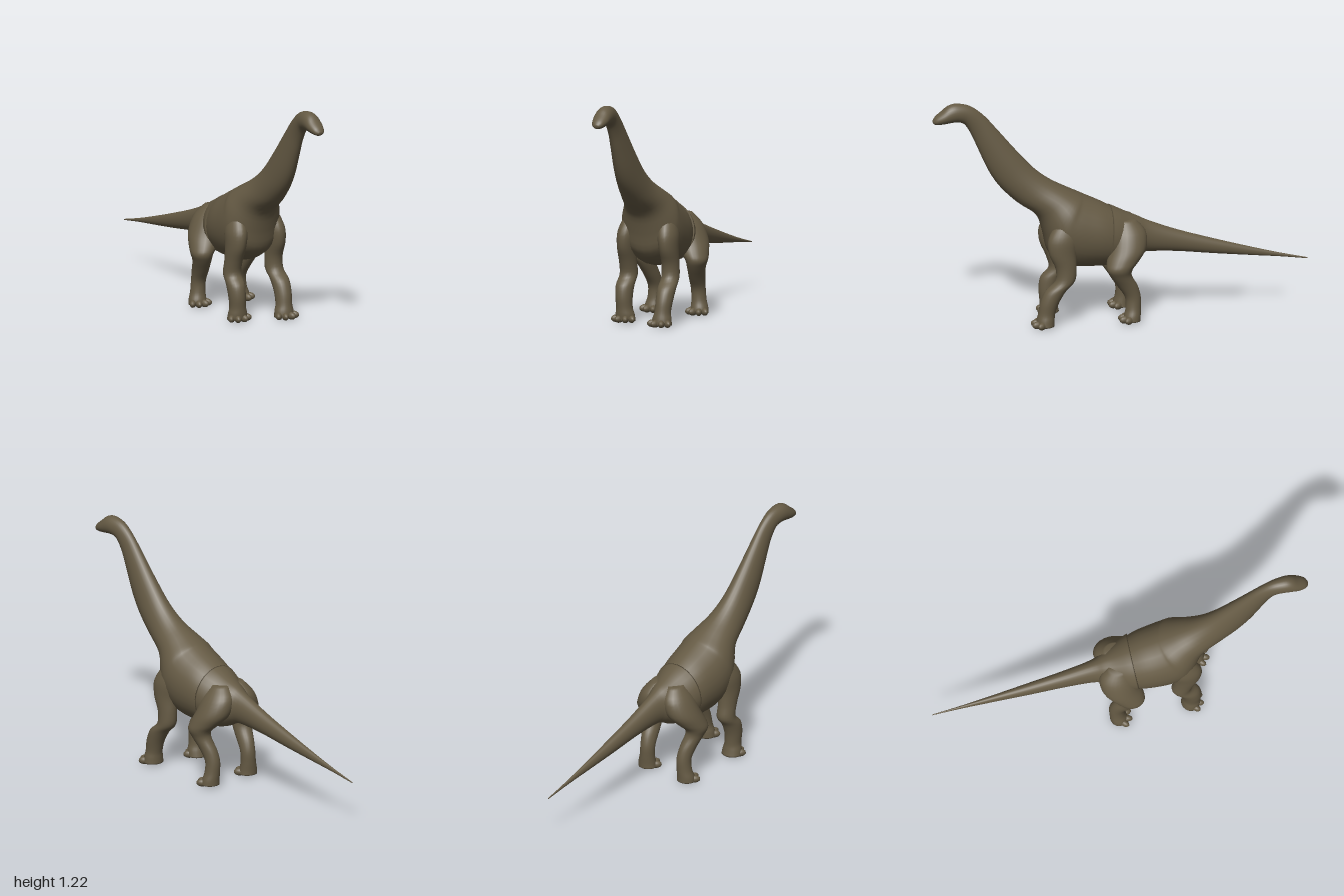
import * as THREE from 'three';

const hide = new THREE.MeshStandardMaterial({ color: 0x655a44 });
hide.name = 'brown hide';

// Catmull-Rom smoothing of a table of cross-sections
function refine(rows, steps) {
  const out = [];
  for (let i = 0; i < rows.length - 1; i++) {
    const a = rows[Math.max(i - 1, 0)], b = rows[i], c = rows[i + 1], d = rows[Math.min(i + 2, rows.length - 1)];
    for (let s = 0; s < steps; s++) {
      const t = s / steps;
      out.push(b.map((v, k) => v + 0.5 * t * (c[k] - a[k] + t * (2 * a[k] - 5 * v + 4 * c[k] - d[k] + t * (3 * (v - c[k]) + d[k] - a[k])))));
    }
  }
  out.push(rows[rows.length - 1]);
  return out;
}

// Closed skin through elliptical rings { c: centre, w, u: half axes }
function loft(name, rings, sides = 28) {
  const pos = [], idx = [], n = rings.length;
  for (const { c, w, u } of rings) {
    for (let j = 0; j < sides; j++) {
      const a = (j / sides) * Math.PI * 2, cs = Math.cos(a), sn = Math.sin(a);
      pos.push(c[0] + w[0] * cs + u[0] * sn, c[1] + w[1] * cs + u[1] * sn, c[2] + w[2] * cs + u[2] * sn);
    }
  }
  const first = n * sides, last = first + 1;
  pos.push(...rings[0].c, ...rings[n - 1].c);
  for (let j = 0; j < sides; j++) {
    const k = (j + 1) % sides;
    for (let i = 0; i < n - 1; i++) {
      const a = i * sides + j, b = i * sides + k, c = a + sides, d = b + sides;
      idx.push(a, c, b, b, c, d);
    }
    idx.push(first, j, k, last, (n - 1) * sides + k, (n - 1) * sides + j);
  }
  const g = new THREE.BufferGeometry();
  g.setAttribute('position', new THREE.Float32BufferAttribute(pos, 3));
  g.setIndex(idx);
  g.computeVertexNormals();
  const m = new THREE.Mesh(g, hide);
  m.name = name;
  return m;
}

// Body sections: top z, top y, bottom z, bottom y, half width
const trunk = (name, rows) => loft(name, refine(rows, 4).map(([tz, ty, bz, by, w]) => ({
  c: [0, (ty + by) / 2, (tz + bz) / 2], w: [w, 0, 0], u: [0, (ty - by) / 2, (tz - bz) / 2],
})));

// Leg sections: x, y, z, half width, half depth
const limb = (name, rows, side) => loft(name, refine(rows, 4).map(([x, y, z, rx, rz]) => ({
  c: [x * side, y, z], w: [0, 0, rz], u: [rx, 0, 0],
})), 24);

const headNeckTorso = [
  [1.0, 1.135, 0.996, 1.12, 0.012],
  [0.985, 1.157, 0.98, 1.113, 0.03],
  [0.95, 1.185, 0.94, 1.115, 0.042],
  [0.915, 1.212, 0.89, 1.12, 0.044],
  [0.87, 1.22, 0.855, 1.118, 0.042],
  [0.80, 1.203, 0.825, 1.10, 0.037],
  [0.73, 1.15, 0.79, 1.04, 0.036],
  [0.66, 1.07, 0.755, 0.96, 0.043],
  [0.56, 0.95, 0.70, 0.84, 0.056],
  [0.46, 0.84, 0.64, 0.75, 0.068],
  [0.37, 0.77, 0.55, 0.66, 0.085],
  [0.28, 0.72, 0.45, 0.585, 0.115],
  [0.22, 0.69, 0.412, 0.48, 0.148],
  [0.20, 0.68, 0.38, 0.37, 0.16],
  [0.17, 0.665, 0.27, 0.30, 0.162],
  [0.10, 0.63, 0.13, 0.287, 0.152],
  [0.03, 0.59, 0.03, 0.29, 0.128],
  [-0.04, 0.55, -0.05, 0.31, 0.095],
];

const hipsTail = [
  [0.055, 0.608, 0.085, 0.30, 0.148],
  [0.02, 0.592, 0.03, 0.288, 0.136],
  [-0.04, 0.562, -0.04, 0.305, 0.106],
  [-0.09, 0.54, -0.1, 0.335, 0.076],
  [-0.15, 0.51, -0.15, 0.342, 0.054],
  [-0.3, 0.45, -0.3, 0.332, 0.04],
  [-0.5, 0.385, -0.5, 0.305, 0.028],
  [-0.7, 0.325, -0.7, 0.28, 0.015],
  [-0.85, 0.283, -0.85, 0.262, 0.007],
  [-1, 0.246, -1, 0.24, 0.002],
];

const frontLeg = [
  [0.10, 0.56, 0.30, 0.04, 0.06],
  [0.113, 0.48, 0.325, 0.052, 0.082],
  [0.119, 0.40, 0.332, 0.048, 0.073],
  [0.121, 0.32, 0.315, 0.045, 0.056],
  [0.122, 0.25, 0.32, 0.047, 0.052],
  [0.125, 0.20, 0.37, 0.048, 0.055],
  [0.125, 0.14, 0.402, 0.045, 0.05],
  [0.122, 0.08, 0.418, 0.043, 0.045],
  [0.12, 0.045, 0.424, 0.051, 0.047],
  [0.12, 0.012, 0.427, 0.055, 0.049],
];

const hindLeg = [
  [0.05, 0.54, -0.02, 0.04, 0.05],
  [0.07, 0.48, -0.03, 0.07, 0.09],
  [0.095, 0.40, -0.02, 0.084, 0.098],
  [0.125, 0.34, 0.012, 0.072, 0.085],
  [0.145, 0.30, 0.033, 0.057, 0.068],
  [0.14, 0.26, 0.025, 0.047, 0.057],
  [0.128, 0.20, -0.012, 0.041, 0.053],
  [0.122, 0.14, -0.04, 0.038, 0.042],
  [0.125, 0.08, -0.042, 0.04, 0.04],
  [0.13, 0.04, -0.036, 0.047, 0.044],
  [0.13, 0.012, -0.033, 0.05, 0.046],
];

// Four rounded toes fanned around the front of a foot
function toes(name, x, z, spread) {
  const group = new THREE.Group();
  group.name = name;
  for (const deg of [-62, -22, 20, 60]) {
    const a = THREE.MathUtils.degToRad(deg);
    const toe = new THREE.Mesh(new THREE.SphereGeometry(1, 14, 10), hide);
    toe.name = 'toe';
    toe.scale.set(0.017, 0.02, 0.03);
    toe.position.set(x + Math.sin(a) * spread, 0.022, z + Math.cos(a) * spread * 0.92);
    toe.rotation.y = a * 0.7;
    group.add(toe);
  }
  return group;
}

export function createModel() {
  const model = new THREE.Group();
  model.name = 'longNeckedDinosaur';
  model.add(trunk('headNeckAndTorso', headNeckTorso), trunk('hipsAndTail', hipsTail));

  for (const side of [1, -1]) {
    const label = side > 0 ? 'left' : 'right';
    // The right front foot is planted further back than the left
    const stride = side > 0 ? 0 : -0.08;
    const front = frontLeg.map(([x, y, z, rx, rz]) => [x, y, z + stride * Math.max(0, 1 - y / 0.32), rx, rz]);
    model.add(
      limb(label + 'FrontLeg', front, side),
      toes(label + 'FrontToes', 0.12 * side, 0.427 + stride, 0.049),
      limb(label + 'HindLeg', hindLeg, side),
      toes(label + 'HindToes', 0.13 * side, -0.033, 0.046),
    );
  }
  return model;
}
